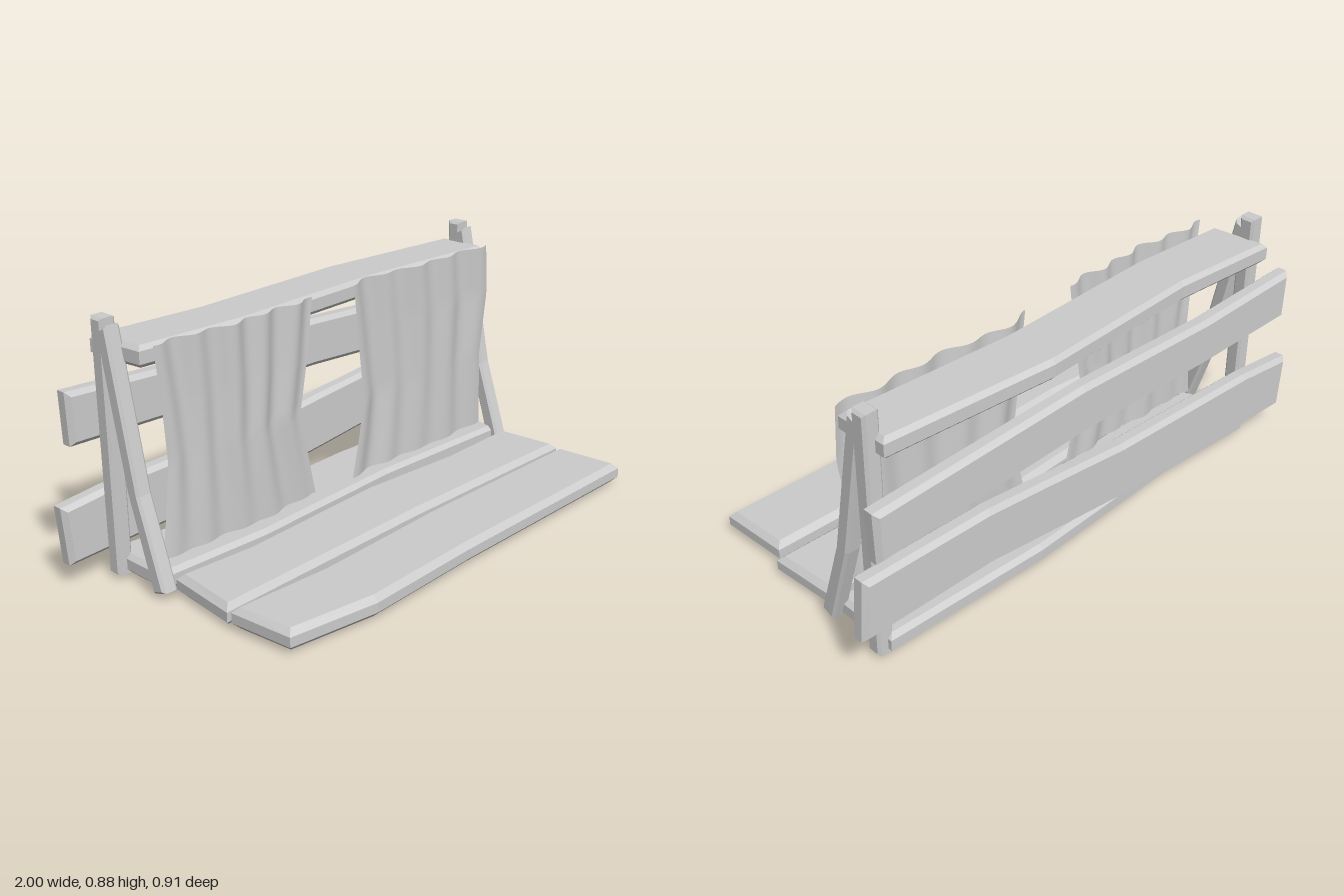
import * as THREE from 'three';

const wood = new THREE.MeshStandardMaterial({ color: 0xcccccc, flatShading: true });
const cloth = new THREE.MeshStandardMaterial({ color: 0xcccccc, side: THREE.DoubleSide });

// Bevelled board: a 2D outline extruded from 0 to thickness along z
function board(outline, thickness, bevel) {
  const shape = new THREE.Shape(outline.map(([a, b]) => new THREE.Vector2(a, b)));
  const geo = new THREE.ExtrudeGeometry(shape, {
    depth: thickness - 2 * bevel, bevelThickness: bevel, bevelSize: bevel,
    bevelOffset: -bevel, bevelSegments: 1,
  });
  return geo.translate(0, 0, bevel);
}

// Piecewise-linear lookup through [t, value] pairs
function lerpKeys(keys, t) {
  for (let i = 1; i < keys.length; i++) {
    const [t0, v0] = keys[i - 1], [t1, v1] = keys[i];
    if (t <= t1) return v0 + (v1 - v0) * (t - t0) / (t1 - t0);
  }
  return keys[keys.length - 1][1];
}

// Hanging cloth: side edges as [height, x] keys, folds fading from top to bottom
function curtain({ left, right, bottom, top, fold }) {
  const geo = new THREE.PlaneGeometry(1, 1, 60, 24);
  const p = geo.attributes.position;
  for (let i = 0; i < p.count; i++) {
    const u = p.getX(i) + 0.5, v = p.getY(i) + 0.5;
    const y = bottom + (top - bottom) * v;
    const x0 = lerpKeys(left, y), x1 = lerpKeys(right, y);
    p.setXYZ(i, x0 + (x1 - x0) * u, y, fold(u, v));
  }
  geo.computeVertexNormals();
  return geo;
}

export function createModel() {
  const model = new THREE.Group();
  const add = (name, geo, mat = wood) => {
    const mesh = new THREE.Mesh(geo, mat);
    mesh.name = name;
    model.add(mesh);
  };

  // Horizontal boards, outlines as [x, z]
  const flat = (name, y, thickness, bevel, outline) =>
    add(name, board(outline.map(([x, z]) => [x, -z]), thickness, bevel)
      .rotateX(-Math.PI / 2).translate(0, y, 0));

  flat('frontFloorPlank', 0.007, 0.074, 0.02, [
    [-0.82, 0.17], [-0.45, 0.19], [0.08, 0.17], [0.85, 0.175],
    [0.865, 0.435], [-0.02, 0.435], [-0.48, 0.45], [-0.8, 0.4]]);
  flat('middleFloorPlank', 0, 0.074, 0.02, [
    [-0.79, -0.12], [-0.5, -0.1], [0.09, -0.13], [0.51, -0.1],
    [0.86, -0.11], [0.88, 0.145], [0.08, 0.135], [-0.82, 0.15]]);
  flat('rearFloorPlank', 0.01, 0.07, 0.016, [
    [-0.82, -0.41], [-0.4, -0.39], [0.24, -0.42], [0.86, -0.4],
    [0.86, -0.14], [0.24, -0.16], [-0.4, -0.125], [-0.82, -0.14]]);
  flat('topShelf', 0.727, 0.072, 0.015, [
    [-0.82, -0.435], [-0.4, -0.415], [0.24, -0.457], [0.86, -0.42],
    [0.86, -0.225], [0.24, -0.245], [-0.4, -0.205], [-0.8, -0.22]]);

  // Crooked back boards, outlines as [x, y]
  add('upperBackPlank', board([
    [-0.95, 0.65], [-0.5, 0.63], [0.1, 0.64], [0.93, 0.6],
    [0.925, 0.42], [0.4, 0.45], [0.1, 0.465], [-0.5, 0.46], [-0.945, 0.47]],
  0.065, 0.016).translate(0, 0, -0.455));
  add('lowerBackPlank', board([
    [-1, 0.28], [-0.75, 0.305], [-0.1, 0.325], [0.14, 0.35], [0.5, 0.385], [0.98, 0.39],
    [0.995, 0.175], [0.5, 0.175], [0.14, 0.135], [-0.1, 0.11], [-0.985, 0.075]],
  0.065, 0.016).translate(0, 0, -0.455));

  // Upright posts and kinked braces at both ends, outlines as [z, y]
  const post = [[-0.33, 0.01], [-0.385, 0.01], [-0.385, 0.875], [-0.328, 0.875]];
  const brace = [[-0.105, 0.03], [-0.16, 0.012], [-0.26, 0.33],
    [-0.36, 0.835], [-0.31, 0.857], [-0.205, 0.33]];
  for (const [side, x] of [['right', -0.853], ['left', 0.837]]) {
    for (const [part, outline] of [['Post', post], ['Brace', brace]]) {
      add(side + part, board(outline.map(([z, y]) => [-z, y]), 0.058, 0.009)
        .rotateY(Math.PI / 2).translate(x, 0, 0));
    }
  }

  // Two gathered cloth hangings
  add('rightCurtain', curtain({
    left: [[0.1, -0.785], [0.26, -0.765], [0.42, -0.75], [0.6, -0.763], [0.81, -0.785]],
    right: [[0.1, -0.105], [0.26, -0.14], [0.42, -0.17], [0.6, -0.135], [0.81, -0.105]],
    bottom: 0.1, top: 0.81,
    fold: (u, v) => -0.185 + 0.02 * Math.sin(Math.PI * u)
      + (0.006 + 0.007 * v) * Math.sin(u * 30 + 0.8 * v)
      + 0.006 * Math.sin(u * 13 + 2 * v),
  }), cloth);
  add('leftCurtain', curtain({
    left: [[0.08, 0.1], [0.22, 0.13], [0.37, 0.155], [0.55, 0.13], [0.805, 0.1]],
    right: [[0.08, 0.84], [0.38, 0.83], [0.62, 0.865], [0.805, 0.855]],
    bottom: 0.08, top: 0.805,
    fold: (u, v) => -0.207 - 0.022 * Math.exp(-Math.pow((u - 0.17) / 0.09, 2))
      + (0.006 + 0.006 * v) * Math.sin(u * 27 + 1 + 0.7 * v)
      + 0.005 * Math.sin(u * 12 + 1.5 * v),
  }), cloth);

  return model;
}
